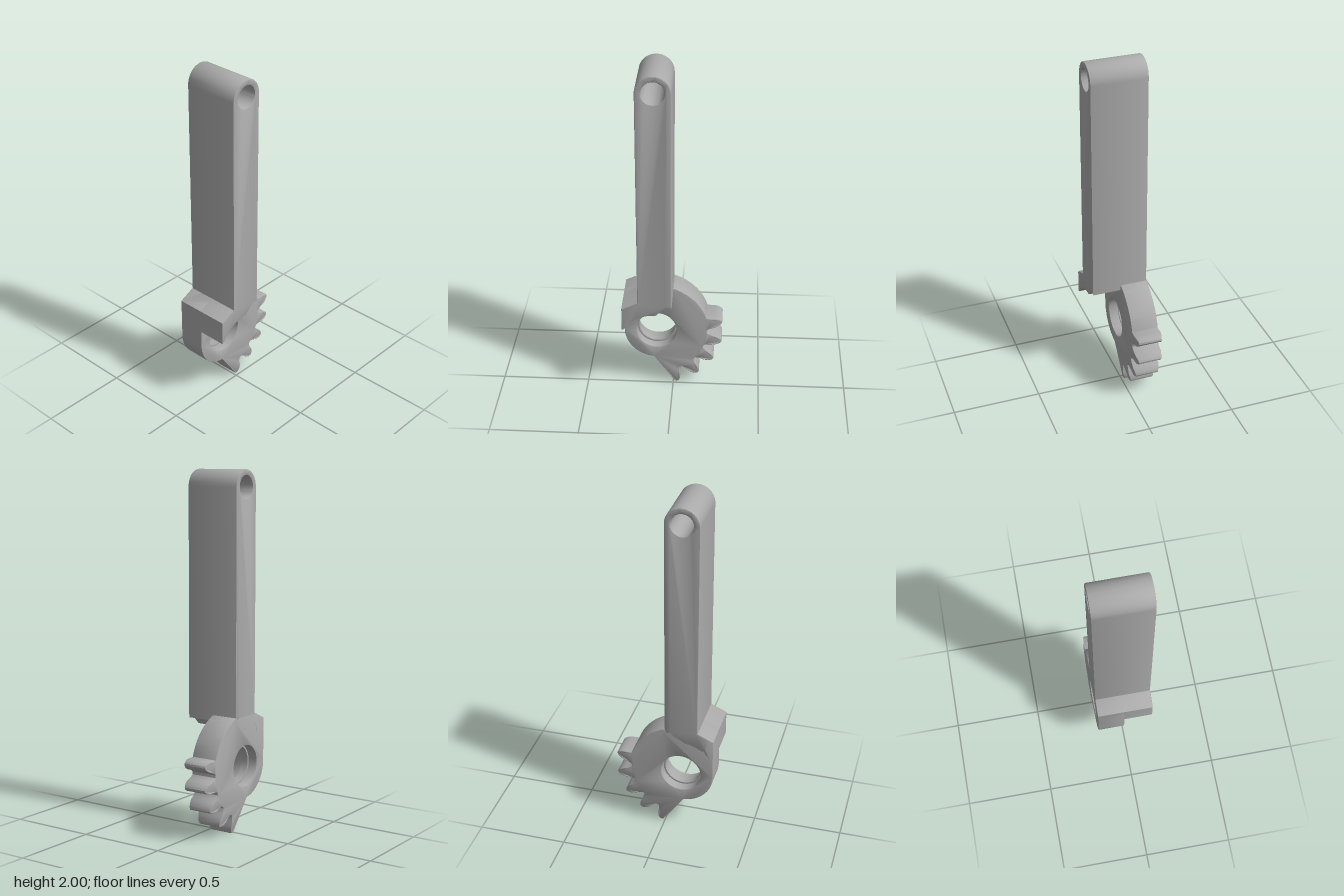
import * as THREE from 'three';
import { toCreasedNormals } from 'three/addons/utils/BufferGeometryUtils.js';

const HUB = [-0.095, 0.367];
const rad = (d) => (d * Math.PI) / 180;

// points on an arc, angles in degrees
function arc(cx, cy, r, from, to, n) {
  return Array.from({ length: n + 1 }, (_, i) => {
    const a = rad(from + ((to - from) * i) / n);
    return new THREE.Vector2(cx + r * Math.cos(a), cy + r * Math.sin(a));
  });
}
const pt = (x, y) => new THREE.Vector2(x, y);

// plate with round holes, lying between z0 and z1, with softened edges
function plate(points, holes, z0, z1, bevel) {
  const shape = new THREE.Shape(points);
  for (const [x, y, r] of holes) {
    shape.holes.push(new THREE.Path(arc(x, y, r, 360, 7.5, 47)));
  }
  const g = new THREE.ExtrudeGeometry(shape, {
    depth: z1 - z0 - 2 * bevel,
    bevelEnabled: bevel > 0,
    bevelThickness: bevel,
    bevelSize: bevel,
    bevelOffset: -bevel,
    bevelSegments: 2,
  });
  return g.translate(0, 0, z0 + bevel);
}

export function createModel() {
  const group = new THREE.Group();
  const grey = new THREE.MeshStandardMaterial({ color: 0xaaaaaa });
  grey.name = 'grey';
  const add = (name, geometry) => {
    const mesh = new THREE.Mesh(toCreasedNormals(geometry, rad(32)), grey);
    mesh.name = name;
    group.add(mesh);
  };

  // full-depth lever arm with the side shoulder curved around the hub
  const arm = [
    ...arc(-0.095, 1.905, 0.095, 0, 180, 32),
    pt(-0.19, 0.652),
    pt(-0.28, 0.61),
    pt(-0.28, 0.47),
    ...arc(...HUB, 0.204, 148, 88, 14),
    pt(-0.032, 0.626),
    pt(0, 0.62),
  ];
  add('leverArm', plate(arm, [[-0.095, 1.905, 0.062]], -0.16, 0.16, 0.006));

  // gear sector: hub, straight lower flank, five teeth, round upper rim
  const profile = [
    [0.298, -0.037], [0.315, -0.033], [0.34, -0.029], [0.36, -0.023], [0.374, -0.014],
    [0.381, -0.005], [0.381, 0.005], [0.374, 0.014], [0.36, 0.023], [0.34, 0.029],
    [0.315, 0.033], [0.298, 0.037],
  ];
  const teeth = [];
  for (let i = 0; i < 5; i++) {
    const a = rad(-71.6 + 20.35 * i);
    const place = (u, v) =>
      pt(HUB[0] + u * Math.cos(a) - v * Math.sin(a), HUB[1] + u * Math.sin(a) + v * Math.cos(a));
    // the first tooth runs straight into the lower flank
    teeth.push(...profile.slice(i === 0 ? 4 : 0).map(([u, v]) => place(u, v)));
    if (i < 4) teeth.push(...arc(...HUB, 0.289, -71.6 + 20.35 * i + 8.6, -71.6 + 20.35 * i + 11.7, 2));
  }
  const sector = [
    pt(-0.28, 0.61),
    ...arc(...HUB, 0.185, 180, 265, 20),
    ...teeth,
    ...arc(...HUB, 0.3, 18.5, 71.5, 16),
    pt(-0.19, 0.652),
  ];
  const gear = plate(sector, [[...HUB, 0.115]], -0.16, -0.005, 0.004);

  // taper the tooth tips in thickness
  const p = gear.attributes.position;
  const mid = -0.0825;
  for (let i = 0; i < p.count; i++) {
    const r = Math.hypot(p.getX(i) - HUB[0], p.getY(i) - HUB[1]);
    // leave the shoulder corner untouched
    if (r > 0.345 && p.getY(i) < 0.5) {
      const k = 1 - (0.13 * (r - 0.345)) / 0.036;
      p.setZ(i, mid + (p.getZ(i) - mid) * k);
    }
  }
  add('gearSector', gear);

  // narrow lip halfway through the hub bore
  const lip = plate(arc(...HUB, 0.117, 0, 352.5, 47), [[...HUB, 0.105]], -0.105, -0.06, 0);
  add('boreLip', lip);

  return group;
}
